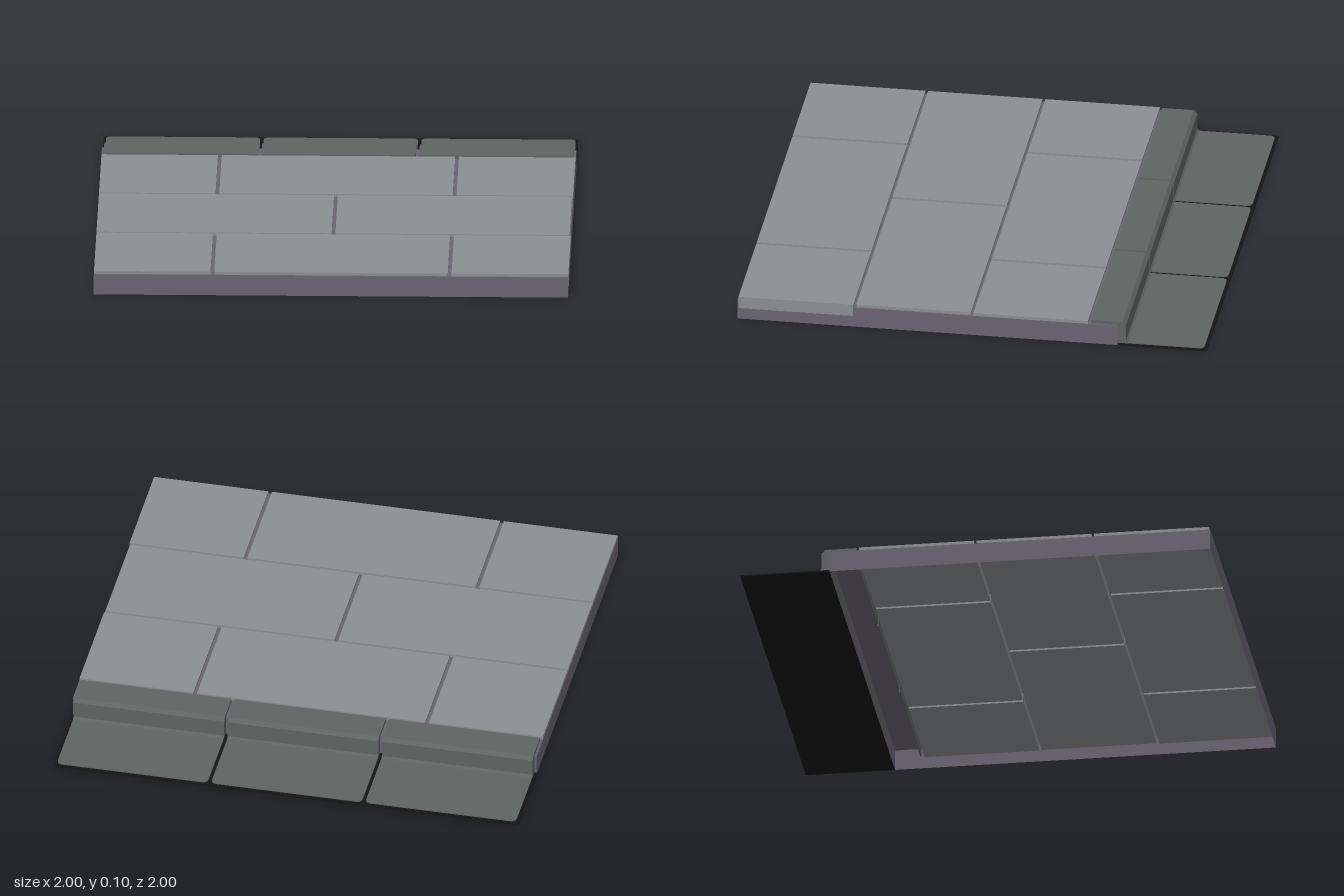
import * as THREE from 'three';

const material = (color, side = THREE.FrontSide) =>
  new THREE.MeshStandardMaterial({ color, side, flatShading: true });

export function createModel() {
  const model = new THREE.Group();
  const stone = material(0x8b8e92);
  const grout = material(0x6a6372, THREE.DoubleSide);
  const curbStone = material(0x5e6462, THREE.DoubleSide);
  const black = material(0x151515);

  const add = (name, geometry, mat, parent = model) => {
    const mesh = new THREE.Mesh(geometry, mat);
    mesh.name = name;
    parent.add(mesh);
    return mesh;
  };

  // A box given by its lower and upper corners
  const block = (x0, x1, y0, y1, z0, z1) =>
    new THREE.BoxGeometry(x1 - x0, y1 - y0, z1 - z0)
      .translate((x0 + x1) / 2, (y0 + y1) / 2, (z0 + z1) / 2);

  // Grout bed: side walls and top, open underneath
  const bed = block(-1, 1, 0, 0.09, -0.62, 1);
  const faces = Array.from(bed.index.array);
  faces.splice(18, 6);
  bed.setIndex(faces);
  bed.clearGroups();
  add('groutBed', bed, grout);

  // Paving slabs in running bond, hanging through the bed
  const paving = new THREE.Group();
  paving.name = 'paving';
  model.add(paving);
  const gap = 0.008;
  const rows = [
    { z0: 0.506, z1: 0.995, cuts: [-0.5, 0.5], edge: 1.0005 },
    { z0: 0.006, z1: 0.494, cuts: [0], edge: 0.995 },
    { z0: -0.494, z1: -0.006, cuts: [-0.5, 0.5], edge: 0.999 },
  ];
  for (const { z0, z1, cuts, edge } of rows) {
    const ends = [-0.999 - gap, ...cuts, edge + gap];
    for (let i = 0; i < ends.length - 1; i++) {
      add('pavingSlab', block(ends[i] + gap, ends[i + 1] - gap, 0.05, 0.103, z0, z1), stone, paving);
    }
  }

  // Thin black road base behind the curb
  add('roadBase', block(-1, 1, 0, 0.006, -1, -0.62), black);

  // Curb cross-section in (-z, y): front lip, top, chamfer and riser
  const profile = new THREE.Shape([
    [0.506, 0.05], [0.511, 0.05], [0.511, 0.09], [0.62, 0.09], [0.62, 0.004],
    [0.67, 0.004], [0.67, 0.01], [0.662, 0.011], [0.655, 0.018], [0.655, 0.09],
    [0.64, 0.105], [0.506, 0.105],
  ].map(([d, y]) => new THREE.Vector2(d, y)));

  // Gutter slab outline in (x, -z) with rounded rear corners
  const w = 0.325, r = 0.025, back = 0.988;
  const outline = new THREE.Shape();
  outline.moveTo(-w, 0.665);
  outline.lineTo(w, 0.665);
  outline.lineTo(w, back - r);
  outline.quadraticCurveTo(w, back, w - r, back);
  outline.lineTo(r - w, back);
  outline.quadraticCurveTo(-w, back, -w, back - r);
  outline.closePath();

  // Three curb segments with their gutter slabs
  for (let i = -1; i <= 1; i++) {
    const segment = new THREE.Group();
    segment.name = 'curbSegment';
    segment.position.x = i * 0.665;
    model.add(segment);
    const curb = new THREE.ExtrudeGeometry(profile, { depth: 2 * w, bevelEnabled: false });
    curb.translate(0, 0, -w).rotateY(Math.PI / 2);
    add('curb', curb, curbStone, segment);
    const gutter = new THREE.ExtrudeGeometry(outline, { depth: 0.006, bevelEnabled: false, curveSegments: 4 });
    gutter.rotateX(-Math.PI / 2).translate(0, 0.004, 0);
    add('gutterSlab', gutter, curbStone, segment);
  }

  return model;
}
